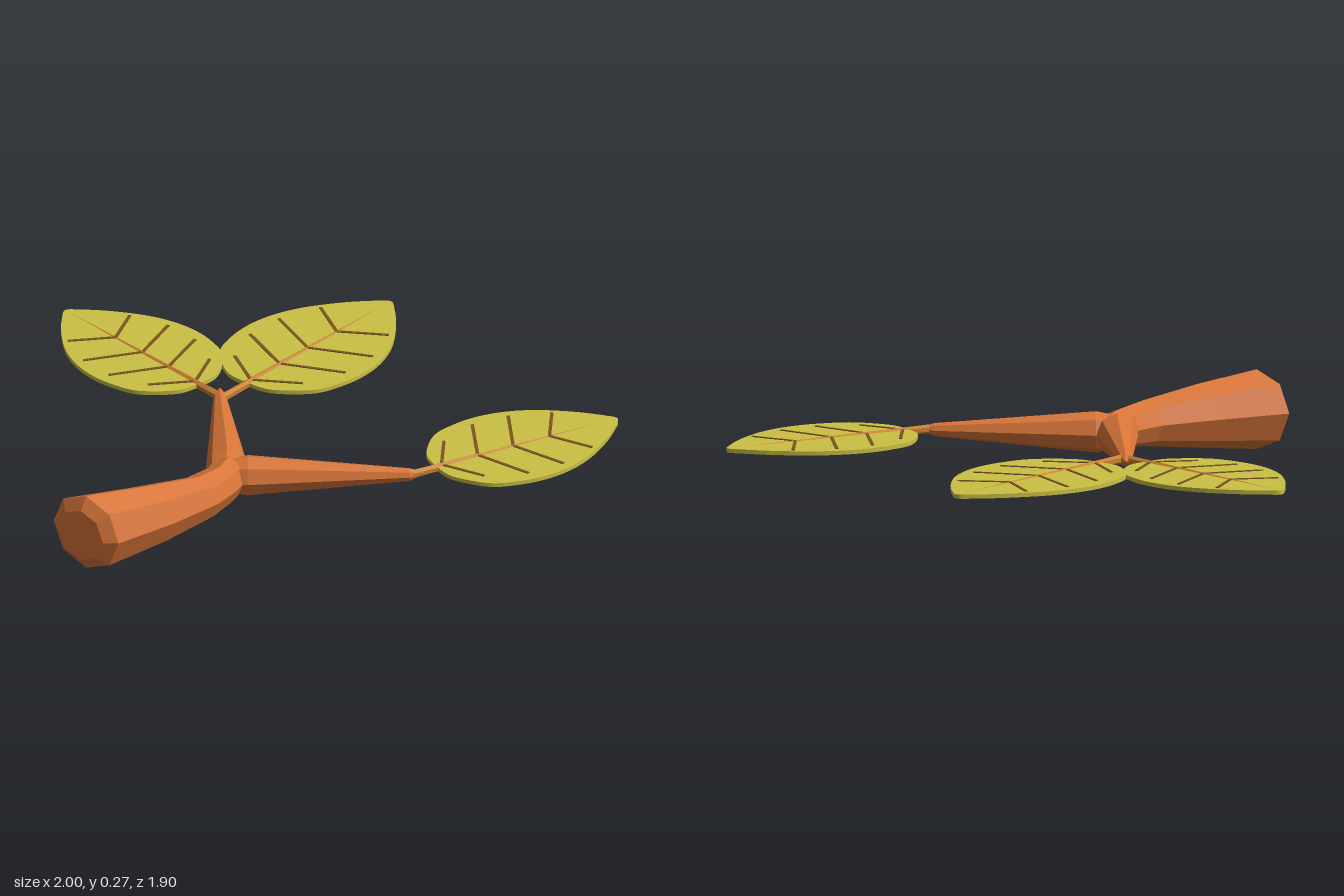
import * as THREE from 'three';

const MID = 0.14; // height of the branch axis
const LEAF_Y = 0.15;
const SIDES = 8;

const bark = new THREE.MeshStandardMaterial({ color: 0xd87538, flatShading: true });
const ribMat = new THREE.MeshStandardMaterial({ color: 0xc98030, flatShading: true });
const veinMat = new THREE.MeshStandardMaterial({ color: 0x7a5420, flatShading: true });
const leafMat = new THREE.MeshStandardMaterial({ color: 0xcbc044, flatShading: true });

function addMesh(parent, name, geometry, material) {
  const mesh = new THREE.Mesh(geometry, material);
  mesh.name = name;
  parent.add(mesh);
  return mesh;
}

// Faceted limb through rings [x, y, z, radius], capped at both ends
function limb(rings, fixedDirection) {
  const pos = [], index = [];
  const up = new THREE.Vector3(0, 1, 0);
  const centres = rings.map(([x, y, z]) => new THREE.Vector3(x, y, z));
  const last = rings.length - 1;
  rings.forEach((ring, i) => {
    const dir = fixedDirection || centres[Math.min(i + 1, last)].clone()
      .sub(centres[Math.max(i - 1, 0)]).setY(0).normalize();
    const side = up.clone().cross(dir);
    for (let j = 0; j < SIDES; j++) {
      const a = (j / SIDES) * Math.PI * 2;
      const p = centres[i].clone()
        .addScaledVector(side, Math.cos(a) * ring[3])
        .addScaledVector(up, Math.sin(a) * ring[3]);
      pos.push(p.x, p.y, p.z);
    }
  });
  for (let i = 0; i < last; i++) {
    for (let j = 0; j < SIDES; j++) {
      const a = i * SIDES + j, b = i * SIDES + (j + 1) % SIDES;
      index.push(a, b, a + SIDES, b, b + SIDES, a + SIDES);
    }
  }
  for (let j = 1; j < SIDES - 1; j++) {
    const e = last * SIDES;
    index.push(0, j + 1, j, e, e + j, e + j + 1);
  }
  const g = new THREE.BufferGeometry();
  g.setAttribute('position', new THREE.Float32BufferAttribute(pos, 3));
  g.setIndex(index);
  g.computeVertexNormals();
  return g;
}

// Leaf blade of length 1: [distance along the rib, half width]
const halfOutline = [
  [0.02, 0.13], [0.14, 0.275], [0.28, 0.328], [0.42, 0.342],
  [0.56, 0.32], [0.7, 0.262], [0.85, 0.158], [0.96, 0.055],
];

function bladeGeometry(length) {
  const right = halfOutline.map(([s, t]) => new THREE.Vector2(t * length, s * length));
  const left = right.map((p) => new THREE.Vector2(-p.x, p.y)).reverse();
  const loop = [new THREE.Vector2(0, 0), ...right, new THREE.Vector2(0, length), ...left];
  const shape = new THREE.Shape();
  shape.moveTo(0, 0);
  shape.splineThru([...loop.slice(1), loop[0]]);
  const g = new THREE.ExtrudeGeometry(shape, { depth: 0.014, bevelEnabled: false, curveSegments: 50 });
  return g.translate(0, 0, -0.007).rotateX(-Math.PI / 2);
}

// Leaf with its stem; start is the twig, base and tip are [x, z]
function makeLeaf(name, start, base, tip) {
  const leaf = new THREE.Group();
  leaf.name = name;
  const dx = tip[0] - base[0], dz = tip[1] - base[1];
  const length = Math.hypot(dx, dz);
  leaf.position.set(base[0], LEAF_Y, base[1]);
  leaf.rotation.y = Math.atan2(-dx, -dz);
  addMesh(leaf, name + 'Blade', bladeGeometry(length), leafMat);

  // Stem and midrib in one tapering rod
  const stem = Math.hypot(base[0] - start[0], base[1] - start[1]);
  const rod = stem + length * 0.96;
  const ribGeo = new THREE.CylinderGeometry(0.007, 0.015, rod, 6)
    .rotateX(-Math.PI / 2).translate(0, 0, stem - rod / 2);
  addMesh(leaf, name + 'Midrib', ribGeo, ribMat);

  // Four pairs of side veins, visible on both faces
  const veins = [[0.03, 0.2], [0.23, 0.28], [0.425, 0.275], [0.625, 0.2]];
  for (const [s, t] of veins) {
    for (const sign of [-1, 1]) {
      const run = t * length, rise = 0.125 * length;
      const vein = addMesh(leaf, name + 'Vein',
        new THREE.BoxGeometry(Math.hypot(run, rise), 0.019, 0.011), veinMat);
      vein.position.set(sign * run / 2, 0, -(s * length + rise / 2));
      vein.rotation.y = sign * Math.atan2(rise, run);
    }
  }
  return leaf;
}

export function createModel() {
  const model = new THREE.Group();
  model.name = 'leafyBranch';

  // Main branch with a chamfered cut end
  addMesh(model, 'mainBranch', limb([
    [-0.03, MID, 0.95, 0.092], [-0.03, MID, 0.92, 0.135], [0.06, MID, 0.7, 0.107],
    [0.125, MID, 0.5, 0.078], [0.128, MID, 0.39, 0.069], [0.11, MID, 0.32, 0.07],
    [0.105, MID, 0.26, 0.05],
  ], new THREE.Vector3(0, 0, -1)), bark);

  // Forked side branches, each ending in a small point
  addMesh(model, 'rightFork', limb([
    [0.125, MID, 0.36, 0.06], [0.07, MID, 0.275, 0.07],
    [-0.235, 0.147, -0.09, 0.022], [-0.265, 0.152, -0.13, 0.003],
  ]), bark);
  addMesh(model, 'leftFork', limb([
    [0.105, MID, 0.325, 0.055], [0.16, MID, 0.28, 0.07],
    [0.595, 0.147, -0.037, 0.022], [0.63, 0.152, -0.07, 0.003],
  ]), bark);

  model.add(
    makeLeaf('rightLeaf', [-0.23, -0.085], [-0.335, -0.11], [-1.0, -0.252]),
    makeLeaf('middleLeaf', [-0.225, -0.09], [-0.215, -0.21], [-0.174, -0.952]),
    makeLeaf('leftLeaf', [0.6, -0.04], [0.64, -0.122], [0.92, -0.752]),
  );
  return model;
}
